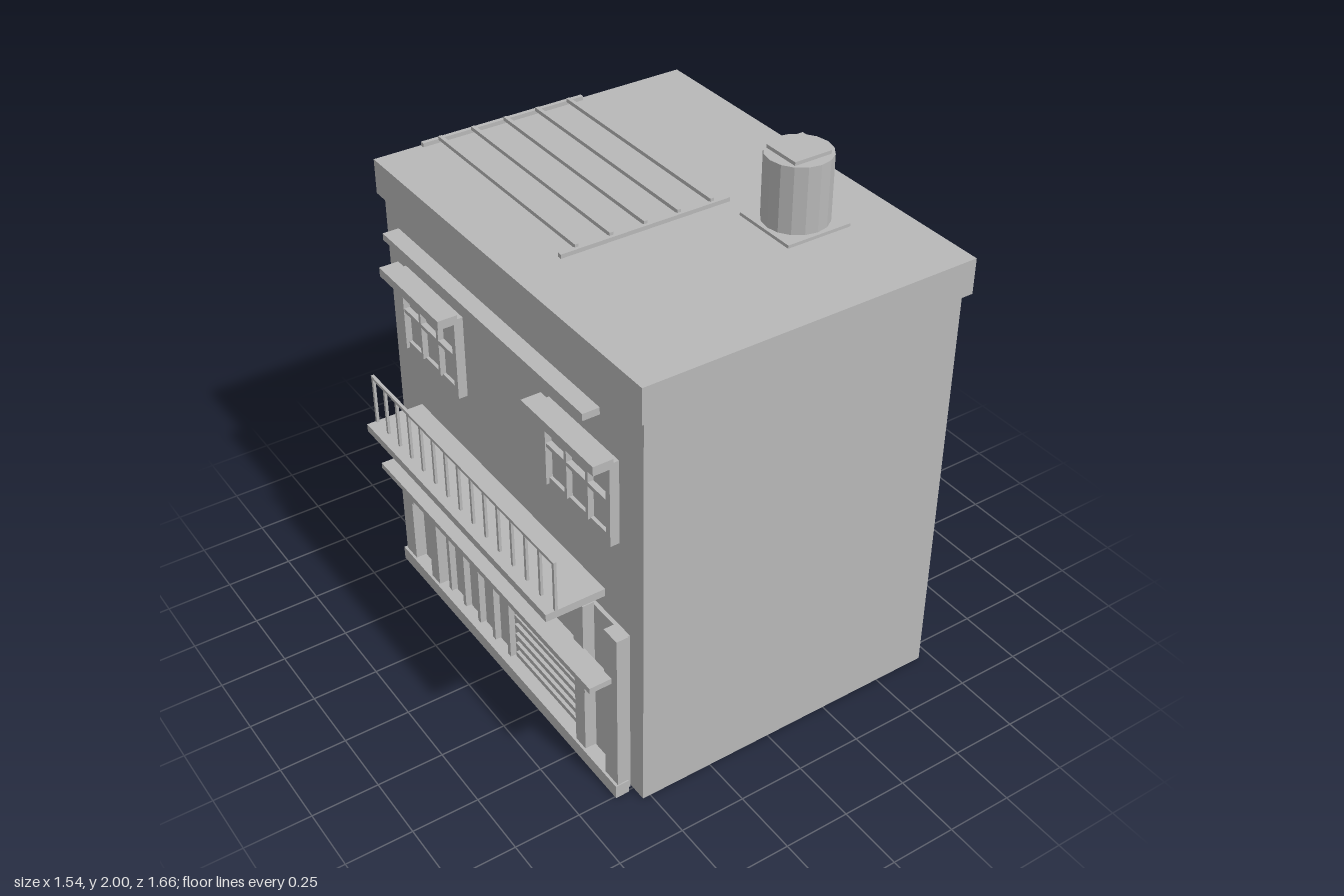
import * as THREE from 'three';

export function createModel() {
  const model = new THREE.Group();
  model.name = 'townBuilding';
  const grey = new THREE.MeshStandardMaterial({ color: 0xb8b8b8 });
  grey.name = 'plain grey';

  // Box given by its lower and upper bounds on each axis
  function box(name, x0, x1, y0, y1, z0, z1, parent = model) {
    const mesh = new THREE.Mesh(new THREE.BoxGeometry(x1 - x0, y1 - y0, z1 - z0), grey);
    mesh.position.set((x0 + x1) / 2, (y0 + y1) / 2, (z0 + z1) / 2);
    mesh.name = name;
    parent.add(mesh);
    return mesh;
  }
  function group(name) {
    const g = new THREE.Group();
    g.name = name;
    model.add(g);
    return g;
  }

  // Main block and roof slab
  box('walls', -0.53, 0.705, 0, 1.6, -0.81, 0.81);
  box('roofSlab', -0.55, 0.73, 1.597, 1.73, -0.83, 0.83);

  // Water tank on the roof
  const tank = group('waterTank');
  box('tankBase', 0.27, 0.525, 1.73, 1.742, 0.19, 0.45, tank);
  const drumGeometry = new THREE.CylinderGeometry(0.117, 0.117, 0.245, 16).toNonIndexed();
  drumGeometry.computeVertexNormals();
  const drum = new THREE.Mesh(drumGeometry, grey);
  drum.name = 'tankDrum';
  drum.position.set(0.4, 1.8645, 0.32);
  tank.add(drum);
  box('tankLid', 0.325, 0.472, 1.985, 2, 0.245, 0.395, tank);

  // Laundry rack above the roof
  const rack = group('roofRack');
  for (const z of [-0.638, 0.238]) box('rackRail', -0.455, 0.185, 1.835, 1.85, z - 0.008, z + 0.008, rack);
  for (let i = 0; i < 5; i++) {
    const x = -0.39 + i * 0.128;
    box('rackBar', x - 0.007, x + 0.007, 1.847, 1.861, -0.63, 0.235, rack);
  }

  // Services on the +x wall
  const services = group('wallServices');
  for (const y of [0.78, 1.08]) {
    box('airUnit', 0.705, 0.75, y, y + 0.11, -0.41, -0.235, services);
    box('airUnitVent', 0.75, 0.767, y + 0.048, y + 0.061, -0.395, -0.25, services);
  }
  box('conduit', 0.705, 0.72, 0.757, 0.77, -0.54, 0.385, services);
  box('drainPipe', 0.714, 0.73, 0, 1.6, -0.765, -0.75, services);
  box('drainFoot', 0.712, 0.73, 0.04, 0.056, -0.76, -0.69, services);
  box('meterBox', 0.705, 0.732, 0.12, 0.225, 0.45, 0.52, services);
  box('meterPipe', 0.705, 0.717, 0.18, 0.35, 0.446, 0.461, services);

  // Shop front on the -x wall
  const shop = group('shopFront');
  box('shopBacking', -0.55, -0.535, 0, 0.7, -0.74, 0.74, shop);
  box('shopPlinth', -0.605, -0.553, 0, 0.055, -0.763, 0.757, shop);
  for (const s of [-1, 1]) {
    box('cornerPost', -0.595, -0.55, 0, 0.71, s * 0.715 - 0.038, s * 0.715 + 0.038, shop);
    box('innerPost', -0.595, -0.55, 0, 0.71, s * 0.52 - 0.03, s * 0.52 + 0.03, shop);
    box('canopyTie', -0.63, -0.615, 0.39, 0.505, s * 0.6 - 0.01, s * 0.6 + 0.01, shop);
  }
  box('shopCanopy', -0.68, -0.59, 0.502, 0.525, -0.73, 0.72, shop);
  for (let i = 0; i < 5; i++) {
    const z = -0.44 + i * 0.11;
    box('doorBar', -0.575, -0.55, 0.05, 0.5, z - 0.01, z + 0.01, shop);
  }
  for (let i = 0; i < 9; i++) {
    const y = 0.08 + i * 0.045;
    box('shutterSlat', -0.568, -0.55, y, y + 0.02, 0.04, 0.46, shop);
  }

  // Balcony with its railing
  const balcony = group('balcony');
  box('balconyFloor', -0.77, -0.545, 0.78, 0.81, -0.62, 0.612, balcony);
  box('handrail', -0.736, -0.724, 0.998, 1.01, -0.622, 0.614, balcony);
  for (let i = 0; i < 15; i++) {
    const z = -0.615 + i * 0.0873;
    box('baluster', -0.735, -0.725, 0.81, 1, z - 0.006, z + 0.006, balcony);
  }

  // Two upper windows with lattice and awning
  for (const zc of [-0.485, 0.475]) {
    const win = group('window');
    const w = 0.19;
    box('windowPane', -0.54, -0.53, 1.05, 1.355, zc - w, zc + w, win);
    for (const s of [-1, 1]) {
      box('windowJamb', -0.565, -0.53, 1.04, 1.365, zc + s * w - 0.012, zc + s * w + 0.012, win);
      box('windowRail', -0.553, -0.53, 1.19 + s * 0.15, 1.215 + s * 0.15, zc - w, zc + w, win);
      box('windowMullion', -0.562, -0.54, 1.06, 1.345, zc + s * 0.063 - 0.007, zc + s * 0.063 + 0.007, win);
    }
    box('windowCrossbar', -0.562, -0.54, 1.193, 1.209, zc - w, zc + w, win);
    box('windowAwning', -0.63, -0.555, 1.352, 1.387, zc - 0.21, zc + 0.21, win);
  }

  // Long ledge above the windows
  box('upperLedge', -0.63, -0.568, 1.526, 1.552, -0.64, 0.632);

  return model;
}
